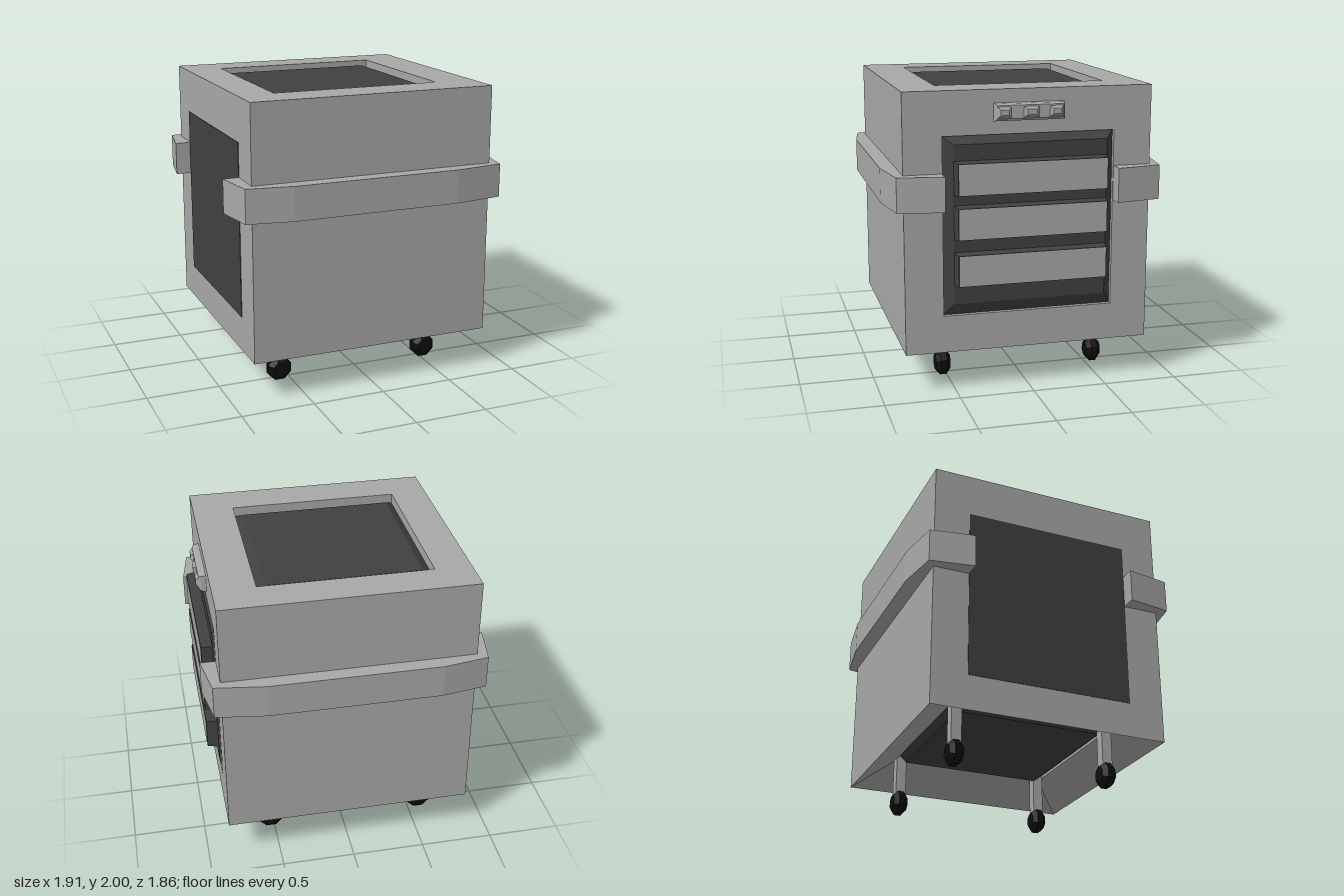
import * as THREE from 'three';

const mat = (name, color) => {
  const m = new THREE.MeshStandardMaterial({ color });
  m.name = name;
  return m;
};

export function createModel() {
  const model = new THREE.Group();
  model.name = 'wheeledCabinet';
  const grey = mat('casing grey', 0xa8a8a8);
  const dark = mat('panel charcoal', 0x404040);
  const black = mat('wheel black', 0x0e0e0e);

  const add = (name, geometry, material, x = 0, y = 0, z = 0) => {
    const mesh = new THREE.Mesh(geometry, material);
    mesh.name = name;
    mesh.position.set(x, y, z);
    model.add(mesh);
    return mesh;
  };

  // Rectangular rings [u0, u1, v0, v1, height] joined in order, facing +z
  const loft = (rects, cap) => {
    const pos = [];
    const rings = rects.map(([a, b, c, d, h]) => [[a, c, h], [b, c, h], [b, d, h], [a, d, h]]);
    const quad = (a, b, c, d) => [a, b, c, a, c, d].forEach((p) => pos.push(...p));
    for (let k = 0; k < rings.length - 1; k++) {
      for (let i = 0; i < 4; i++) {
        const j = (i + 1) % 4;
        quad(rings[k][i], rings[k][j], rings[k + 1][j], rings[k + 1][i]);
      }
    }
    if (cap) quad(...rings[rings.length - 1]);
    const g = new THREE.BufferGeometry();
    g.setAttribute('position', new THREE.Float32BufferAttribute(pos, 3));
    g.computeVertexNormals();
    return g;
  };

  // Turns from +z towards each side of the casing
  const turn = {
    front: (g) => g,
    back: (g) => g.rotateY(Math.PI),
    right: (g) => g.rotateY(Math.PI / 2),
    left: (g) => g.rotateY(-Math.PI / 2),
    top: (g) => g.rotateX(-Math.PI / 2),
    bottom: (g) => g.rotateX(Math.PI / 2),
  };

  // Casing sides, with recessed openings on the top, right and bottom
  const W = 0.85, D = 0.83, Y0 = 0.27, Y1 = 2;
  for (const side of ['front', 'back']) {
    add(side + 'Wall', turn[side](loft([[-W, W, Y0, Y1, D]], true)), grey);
  }
  add('leftWall', turn.left(loft([[-D, D, Y0, Y1, W]], true)), grey);
  const topHole = [-0.6, 0.565, -0.565, 0.585];
  add('topFrame', turn.top(loft([[-W, W, -D, D, Y1], [...topHole, Y1], [...topHole, 1.92]])), grey);
  const sideHole = [-0.575, 0.575, 0.52, 1.71];
  add('rightFrame', turn.right(loft([[-D, D, Y0, Y1, W], [...sideHole, W], [...sideHole, 0.8]])), grey);
  const floorHole = [-0.6, 0.565, -0.585, 0.565];
  add('slopedFloor', turn.bottom(loft([[-W, W, -D, D, -Y0], [...floorHole, -0.42], [...floorHole, -0.46]])), grey);

  // Bevelled dark panels set into the openings
  add('topPanel', turn.top(loft([[...topHole, 1.93], [-0.54, 0.5, -0.5, 0.53, 1.97]], true)), dark);
  add('rightPanel', turn.right(loft([[...sideHole, 0.82], [-0.505, 0.525, 0.6, 1.655, 0.86]], true)), dark);
  add('bottomPanel', turn.bottom(loft([[...floorHole, -0.44], [-0.54, 0.5, -0.53, 0.5, -0.39]], true)), dark);
  add('leftPanel', turn.left(loft([[-0.58, 0.58, 0.51, 1.7, W], [-0.58, 0.58, 0.51, 1.7, W + 0.004]], true)), dark);

  // Louvre slats: dark bevelled blocks with pale faces
  for (const y of [0.735, 1.045, 1.335]) {
    const h = 0.215;
    add('slat', turn.right(loft([
      [-0.505, 0.525, y - 0.01, y + h, 0.85], [-0.49, 0.51, y, y + h - 0.008, 0.935],
    ], true)), dark);
    add('slatFace', turn.right(loft([[-0.485, 0.505, y + 0.003, y + h - 0.01, 0.938]], true)), grey);
  }

  // Control strip with three buttons
  add('controlStrip', turn.right(loft([
    [-0.24, 0.23, 1.795, 1.912, 0.85], [-0.235, 0.225, 1.8, 1.91, 0.885], [-0.225, 0.215, 1.815, 1.9, 0.898],
  ], true)), grey);
  for (const [u, w] of [[-0.18, 0.045], [0, 0.052], [0.167, 0.045]]) {
    add('button', turn.right(loft([
      [u - w, u + w, 1.82, 1.89, 0.898], [u - w * 0.6, u + w * 0.6, 1.838, 1.874, 0.916],
    ], true)), grey);
  }

  // Wraparound bumpers, mirrored front and back
  for (const s of [1, -1]) {
    const outline = [
      [-0.96, 0.578], [-0.91, 0.882], [-0.6, 0.932], [0.56, 0.932], [0.905, 0.882], [0.955, 0.578],
    ].map(([x, z]) => new THREE.Vector2(x, -s * z));
    const g = new THREE.ExtrudeGeometry(new THREE.Shape(outline), { depth: 0.23, bevelEnabled: false });
    add(s > 0 ? 'frontBumper' : 'backBumper', g.rotateX(-Math.PI / 2), grey, 0, 1.24, 0);
  }

  // Legs and faceted wheels
  const wheelProfile = [[0, -0.05], [0.055, -0.05], [0.088, -0.022], [0.088, 0.022], [0.055, 0.05], [0, 0.05]]
    .map(([r, y]) => new THREE.Vector2(r, y));
  const wheel = new THREE.LatheGeometry(wheelProfile, 8, Math.PI / 8).rotateX(Math.PI / 2).toNonIndexed();
  wheel.computeVertexNormals();
  for (const x of [-0.576, 0.523]) {
    for (const z of [-0.56, 0.525]) {
      const leg = new THREE.BoxGeometry(0.072, 0.36, 0.072);
      const outer = x > 0 && z > 0 ? black : grey;
      add('leg', leg, [outer, grey, grey, grey, grey, grey], x, 0.3, z);
      add('wheel', wheel, black, x, 0.083, z);
    }
  }
  return model;
}
